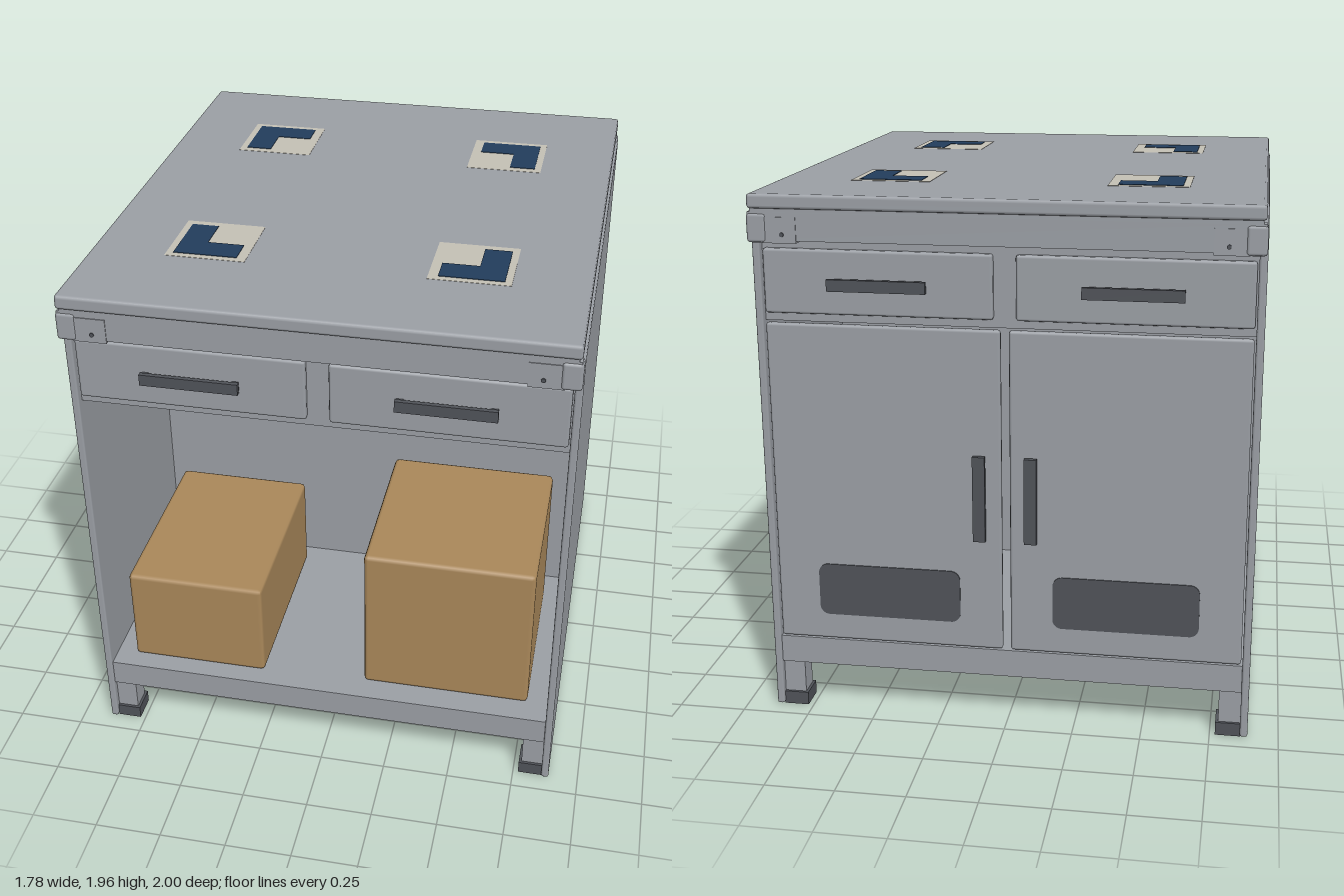
import * as THREE from 'three';
import { RoundedBoxGeometry } from 'three/addons/geometries/RoundedBoxGeometry.js';

const material = (name, color) => {
  const m = new THREE.MeshStandardMaterial({ color });
  m.name = name;
  return m;
};

export function createModel() {
  const steel = material('grey steel', 0x9b9fa5);
  const dark = material('dark grey', 0x505359);
  const card = material('cardboard', 0xaa885a);
  const blue = material('navy marking', 0x223d5c);
  const cream = material('cream marking', 0xc4c0b5);

  const model = new THREE.Group();
  model.name = 'workbenchCabinet';

  const add = (name, geometry, mat, x = 0, y = 0, z = 0) => {
    const mesh = new THREE.Mesh(geometry, mat);
    mesh.name = name;
    mesh.position.set(x, y, z);
    model.add(mesh);
    return mesh;
  };
  // Box given by its extents, with an optional chamfer
  const block = (name, mat, [x0, x1], [y0, y1], [z0, z1], bevel = 0) => {
    const size = [x1 - x0, y1 - y0, z1 - z0];
    const geometry = bevel
      ? new RoundedBoxGeometry(...size, 1, bevel)
      : new THREE.BoxGeometry(...size);
    return add(name, geometry, mat, (x0 + x1) / 2, (y0 + y1) / 2, (z0 + z1) / 2);
  };
  // Extents mirrored to the chosen side of an axis
  const side = (s, a, b) => (s > 0 ? [a, b] : [-b, -a]);

  // Worktop slab with a thin lower lip
  block('worktop', steel, [-0.88, 0.88], [1.908, 1.96], [-1, 1], 0.012);
  block('worktopLip', steel, [-0.87, 0.87], [1.895, 1.91], [-0.99, 0.99]);

  // Carcass: drawer section, middle divider and floor
  block('drawerSection', steel, [-0.865, 0.865], [1.5, 1.79], [-0.91, 0.91]);
  block('divider', steel, [-0.865, 0.865], [0.28, 1.5], [0.02, 0.05]);
  block('floor', steel, [-0.865, 0.865], [0.27, 0.285], [-0.915, 0.915]);
  block('middleBeam', steel, [-0.865, 0.865], [0.18, 0.272], [-0.06, 0.06]);

  for (const s of [1, -1]) {
    block('sidePanel', steel, side(s, 0.86, 0.888), [0.005, 1.88], [-0.94, 0.94], 0.008);

    // Rails under the worktop, front and back
    block('edgeRail', steel, [-0.88, 0.88], [1.798, 1.897], side(s, 0.945, 0.988));
    block('floorApron', steel, [-0.865, 0.865], [0.18, 0.285], side(s, 0.915, 0.93));

    for (const t of [1, -1]) {
      // Rail end brackets with a screw
      block('railBracket', steel, side(t, 0.815, 0.886), [1.79, 1.892], side(s, 0.935, 0.995), 0.012);
      block('railPlate', steel, side(t, 0.71, 0.83), [1.79, 1.88], side(s, 0.95, 0.991));
      const screw = add('railScrew', new THREE.CylinderGeometry(0.008, 0.008, 0.006, 10), dark, t * 0.76, 1.82, s * 0.992);
      screw.rotation.x = Math.PI / 2;

      // Drawers with bar handles
      block('drawerFront', steel, side(t, 0.04, 0.855), [1.53, 1.76], side(s, 0.9, 0.932), 0.01);
      block('drawerHandle', dark, side(t, 0.27, 0.62), [1.62, 1.662], side(s, 0.945, 0.962));
      for (const x of [0.285, 0.605]) {
        block('handlePost', dark, side(t, x - 0.012, x + 0.012), [1.625, 1.657], side(s, 0.928, 0.95));
      }

      // Legs and feet
      block('leg', steel, side(t, 0.78, 0.862), [0.04, 0.275], side(s, 0.835, 0.915));
      block('foot', dark, side(t, 0.77, 0.862), [0, 0.05], side(s, 0.825, 0.925));
    }
  }

  // Back doors with handles and rounded vents
  const ventShape = new THREE.Shape();
  const w = 0.265, h = 0.1, r = 0.035;
  ventShape.moveTo(-w + r, -h);
  ventShape.lineTo(w - r, -h);
  ventShape.absarc(w - r, -h + r, r, -Math.PI / 2, 0);
  ventShape.absarc(w - r, h - r, r, 0, Math.PI / 2);
  ventShape.absarc(-w + r, h - r, r, Math.PI / 2, Math.PI);
  ventShape.absarc(-w + r, -h + r, r, Math.PI, Math.PI * 1.5);
  const ventGeometry = new THREE.ExtrudeGeometry(ventShape, { depth: 0.006, bevelEnabled: false, curveSegments: 5 });
  for (const t of [1, -1]) {
    block('door', steel, side(t, 0.015, 0.855), [0.29, 1.495], [-0.935, -0.905], 0.01);
    block('doorHandle', dark, side(t, 0.07, 0.115), [0.72, 1.04], [-0.962, -0.944]);
    for (const y of [0.74, 1.02]) {
      block('handlePost', dark, side(t, 0.078, 0.107), [y - 0.012, y + 0.012], [-0.95, -0.93]);
    }
    add('vent', ventGeometry, dark, t * 0.435, 0.49, -0.939);
  }

  // Cardboard boxes on the front shelf
  block('smallCarton', card, [-0.785, -0.255], [0.285, 0.68], [0.12, 0.86], 0.016);
  block('largeCarton', card, [0.14, 0.78], [0.285, 0.895], [0.17, 0.84], 0.016);

  // Corner markings on the worktop: pale pad with a dark angle on it
  for (const sx of [1, -1]) {
    for (const sz of [1, -1]) {
      block('markingPad', cream, side(sx, 0.32, 0.61), [1.959, 1.961], side(sz, 0.345, 0.635));
      block('markingBar', blue, side(sx, 0.355, 0.585), [1.96, 1.963], side(sz, 0.51, 0.61));
      block('markingArm', blue, side(sx, 0.487, 0.585), [1.96, 1.963], side(sz, 0.375, 0.51));
    }
  }

  return model;
}
